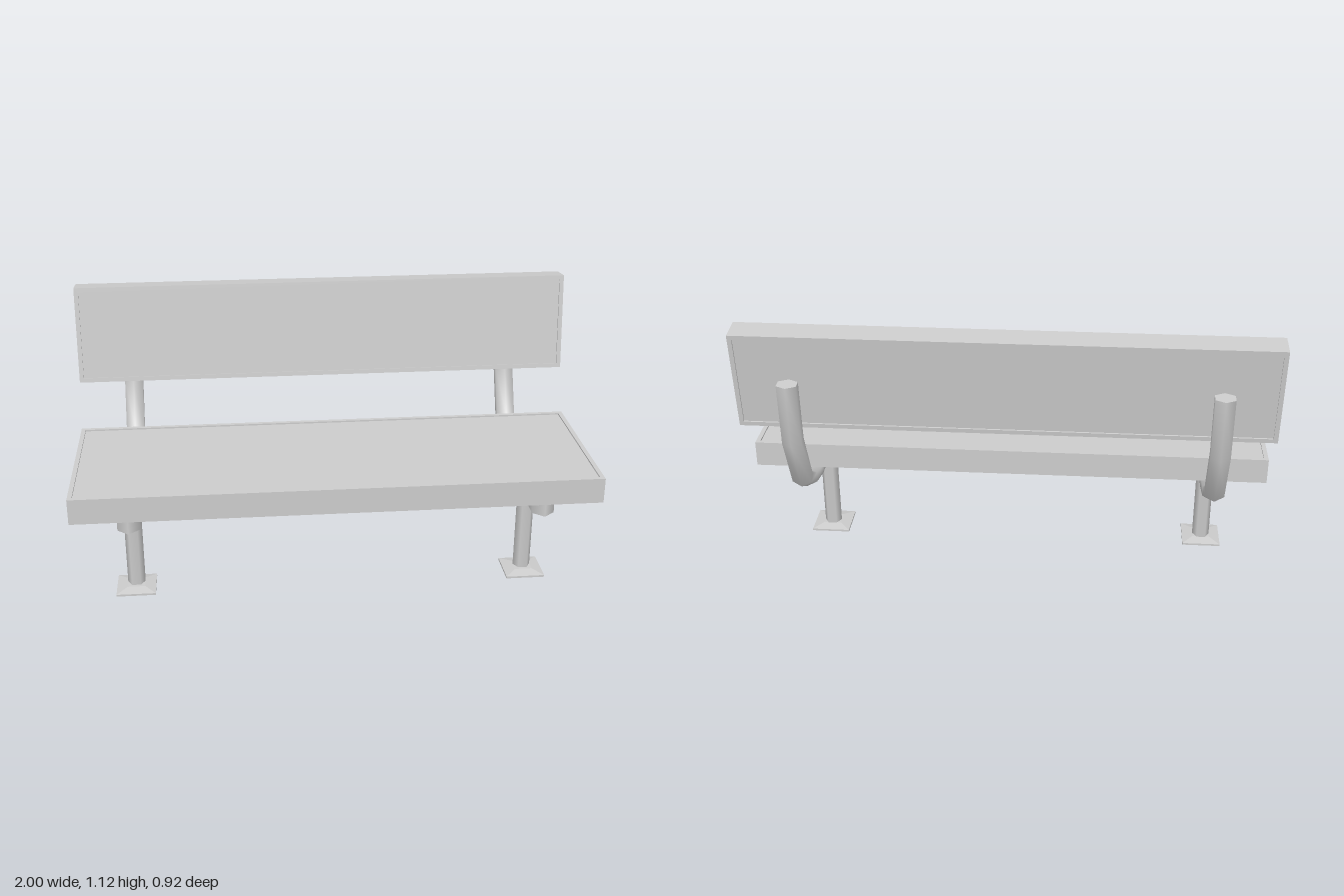
import * as THREE from 'three';

const material = new THREE.MeshStandardMaterial({ color: 0xcccccc });

function add(parent, name, geometry, x = 0, y = 0, z = 0) {
  const mesh = new THREE.Mesh(geometry, material);
  mesh.name = name;
  mesh.position.set(x, y, z);
  parent.add(mesh);
  return mesh;
}

function rectangle(path, w, h) {
  return path.moveTo(-w / 2, -h / 2).lineTo(w / 2, -h / 2)
    .lineTo(w / 2, h / 2).lineTo(-w / 2, h / 2).closePath();
}

// Board lying in the xy plane: a rim around a slightly recessed panel
function createBoard(name, width, height, depth) {
  const rim = 0.017, recess = 0.006;
  const board = new THREE.Group();
  board.name = name;
  const shape = rectangle(new THREE.Shape(), width, height);
  shape.holes.push(rectangle(new THREE.Path(), width - 2 * rim, height - 2 * rim));
  const frame = new THREE.ExtrudeGeometry(shape, { depth, bevelEnabled: false });
  add(board, name + 'Rim', frame.translate(0, 0, -depth / 2));
  add(board, name + 'Panel',
    new THREE.BoxGeometry(width - 2 * rim, height - 2 * rim, depth - 2 * recess));
  return board;
}

// Six-sided pipe with mitred bends along [z, y] points, capped at both ends
function pipeGeometry(points, halfWidth, radius) {
  const sides = 6;
  const path = points.map(([z, y]) => new THREE.Vector2(z, y));
  const last = path.length - 1;
  const positions = [], index = [];
  const rings = path.map((p, i) => {
    const prev = Math.max(i, 1), next = Math.min(i, last - 1);
    const before = path[prev].clone().sub(path[prev - 1]).normalize();
    const after = path[next + 1].clone().sub(path[next]).normalize();
    const along = before.clone().add(after).normalize();
    const stretch = radius / along.dot(before);
    return Array.from({ length: sides }, (_, k) => {
      const a = ((k + 0.5) / sides) * Math.PI * 2;
      const s = Math.sin(a) * stretch;
      const x = Math.cos(a) * halfWidth / Math.cos(Math.PI / sides);
      return [x, p.y + along.x * s, p.x - along.y * s];
    });
  });
  rings.forEach((ring) => ring.forEach((v) => positions.push(...v)));
  for (let i = 0; i < last; i++) {
    for (let k = 0; k < sides; k++) {
      const a = i * sides + k, b = i * sides + (k + 1) % sides;
      index.push(a, b, a + sides, b, b + sides, a + sides);
    }
  }
  // End caps use their own vertices so the end edges stay sharp
  for (const end of [0, last]) {
    const start = positions.length / 3;
    rings[end].forEach((v) => positions.push(...v));
    for (let k = 1; k < sides - 1; k++) {
      if (end === 0) index.push(start, start + k + 1, start + k);
      else index.push(start, start + k, start + k + 1);
    }
  }
  const geometry = new THREE.BufferGeometry();
  geometry.setAttribute('position', new THREE.Float32BufferAttribute(positions, 3));
  geometry.setIndex(index);
  geometry.computeVertexNormals();
  return geometry;
}

function createSupport(name, x) {
  const support = new THREE.Group();
  support.name = name;
  support.position.x = x;

  // Bent arm running under the seat and up behind the backrest
  add(support, 'arm', pipeGeometry([
    [0.34, 0.427], [0.27, 0.425], [-0.13, 0.414], [-0.238, 0.437],
    [-0.316, 0.48], [-0.41, 0.69], [-0.424, 0.93],
  ], 0.037, 0.036));

  // Long six-sided bracket joining the arm to the front of the seat
  const bracket = new THREE.CylinderGeometry(1, 1, 0.078, 6);
  add(support, 'seatBracket', bracket.scale(0.049, 1, 0.072), 0, 0.426, 0.347);

  // Post with corners facing sideways, on a square foot
  const post = new THREE.CylinderGeometry(0.035, 0.035, 0.4, 6, 1, false, Math.PI / 6);
  add(support, 'post', post, -0.004, 0.215, 0.127);
  add(support, 'footPlate', new THREE.BoxGeometry(0.156, 0.008, 0.156), -0.004, 0.004, 0.135);
  const flange = new THREE.CylinderGeometry(0.05, 0.11, 0.01, 4, 1, false, Math.PI / 4).toNonIndexed();
  flange.computeVertexNormals();
  add(support, 'footFlange', flange, -0.004, 0.013, 0.135);
  return support;
}

export function createModel() {
  const bench = new THREE.Group();
  bench.name = 'bench';

  const seat = createBoard('seat', 2, 0.655, 0.1);
  seat.rotation.x = -Math.PI / 2;
  seat.position.set(0, 0.509, 0.132);
  bench.add(seat);

  const backrest = createBoard('backrest', 2, 0.389, 0.099);
  backrest.rotation.x = -0.124;
  backrest.position.set(0, 0.921, -0.336);
  bench.add(backrest);

  bench.add(createSupport('leftSupport', 0.79), createSupport('rightSupport', -0.79));
  return bench;
}
